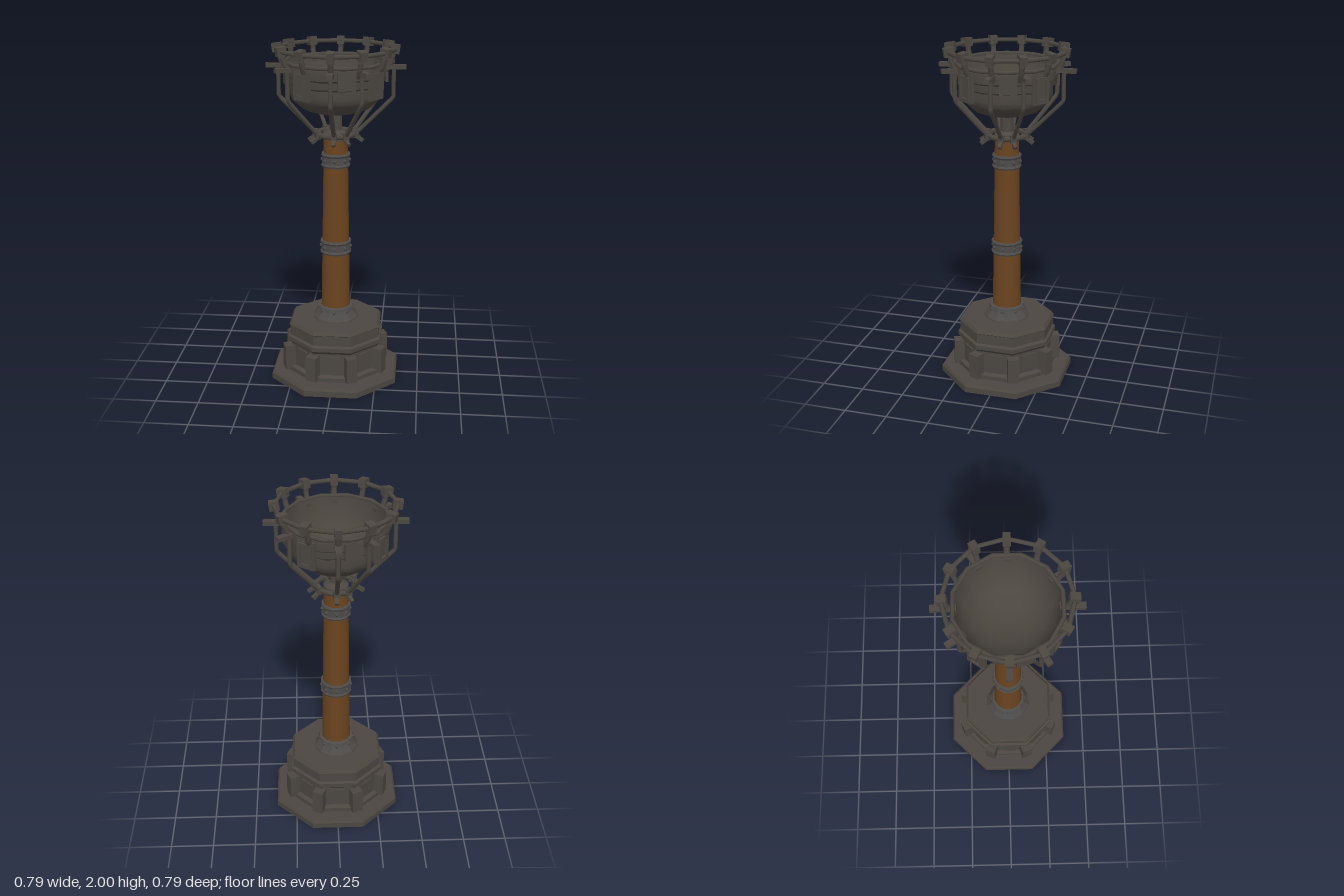
import * as THREE from 'three';
import { toCreasedNormals } from 'three/addons/utils/BufferGeometryUtils.js';

const mat = (name, color) => {
  const m = new THREE.MeshStandardMaterial({ color });
  m.name = name;
  return m;
};
const rad = THREE.MathUtils.degToRad;

export function createModel() {
  const model = new THREE.Group();
  model.name = 'brazier';
  const iron = mat('dark iron', 0x4b4640);
  const steel = mat('grey band', 0x4e4c4a);
  const wood = mat('brown wood', 0x6b4420);

  const add = (parent, name, geometry, material) => {
    const mesh = new THREE.Mesh(geometry, material);
    mesh.name = name;
    parent.add(mesh);
    return mesh;
  };
  // Turned part given by [apothem, y] pairs, with flat sides facing the axes
  const turned = (points, sides, crease = 0.4) => {
    const k = 1 / Math.cos(Math.PI / sides);
    const g = new THREE.LatheGeometry(points.map(([r, y]) => new THREE.Vector2(r * k, y)), sides);
    g.rotateY(Math.PI / sides);
    return toCreasedNormals(g, crease);
  };
  // Group facing outward along its own +z
  const spoke = (name, degrees) => {
    const g = new THREE.Group();
    g.name = name;
    g.rotation.y = rad(degrees);
    model.add(g);
    return g;
  };
  const box = (parent, name, w, h, d, y, z, material = iron, tilt = 0) => {
    const m = add(parent, name, new THREE.BoxGeometry(w, h, d), material);
    m.position.set(0, y, z);
    m.rotation.x = tilt;
    return m;
  };
  // Bent bar through [outward, y] points, made of straight runs
  const bar = (parent, name, points, r, sides = 6) => {
    const path = new THREE.CurvePath();
    const v = points.map(([z, y]) => new THREE.Vector3(0, y, z));
    for (let i = 1; i < v.length; i++) path.add(new THREE.LineCurve3(v[i - 1], v[i]));
    return add(parent, name, new THREE.TubeGeometry(path, 20, r, sides), iron);
  };
  // Polygonal hoop
  const hoop = (name, radius, tube, y, sides, material) => {
    const g = new THREE.TorusGeometry(radius, tube, 6, sides);
    g.rotateX(Math.PI / 2);
    return add(model, name, g.translate(0, y, 0), material);
  };
  const rivets = (r, y, count) => {
    for (let i = 0; i < count; i++) {
      const g = spoke('rivet', (i * 360) / count);
      add(g, 'rivetHead', new THREE.SphereGeometry(0.011, 6, 4), steel).position.set(0, y, r);
    }
  };

  // Octagonal pedestal
  add(model, 'footSlab', turned([[0, 0], [0.37, 0], [0.37, 0.035], [0.36, 0.05], [0, 0.05]], 8), iron);
  add(model, 'pedestal', turned([
    [0.28, 0.05], [0.28, 0.075], [0.255, 0.085], [0.255, 0.22], [0.275, 0.24], [0.275, 0.265],
    [0.262, 0.275], [0.262, 0.335], [0.268, 0.34], [0.255, 0.36], [0, 0.36]], 8), iron);
  for (let i = 0; i < 8; i++) {
    box(spoke('cornerPost', 22.5 + i * 45), 'post', 0.065, 0.15, 0.06, 0.135, 0.292);
    box(spoke('wallPanel', i * 45), 'panel', 0.09, 0.11, 0.012, 0.15, 0.257);
  }

  // Tapered shaft with riveted bands
  add(model, 'shaft', new THREE.CylinderGeometry(0.069, 0.086, 1.1, 16), wood).position.y = 0.93;
  add(model, 'footCollar', turned([
    [0.132, 0.355], [0.13, 0.37], [0.105, 0.41], [0.1, 0.435], [0.085, 0.44]], 12), steel);
  rivets(0.103, 0.415, 8);
  const band = (name, r, y) => {
    add(model, name, turned([
      [r - 0.02, y - 0.04], [r - 0.004, y - 0.04], [r, y - 0.03], [r - 0.006, y - 0.02],
      [r - 0.006, y + 0.02], [r, y + 0.03], [r - 0.004, y + 0.04], [r - 0.02, y + 0.04]], 12), steel);
    rivets(r - 0.004, y, 8);
  };
  band('middleBand', 0.09, 0.81);
  band('upperBand', 0.083, 1.335);

  // Neck and lower cage ring
  add(model, 'neck', turned([
    [0, 1.46], [0.07, 1.46], [0.07, 1.49], [0.035, 1.51], [0.035, 1.6], [0.06, 1.63]], 12), iron);
  hoop('cageRing', 0.108, 0.016, 1.488, 16, iron);

  // Hollow fire bowl
  add(model, 'bowl', turned([
    [0, 1.61], [0.12, 1.615], [0.18, 1.635], [0.225, 1.675], [0.24, 1.69], [0.25, 1.72],
    [0.25, 1.77], [0.262, 1.78], [0.265, 1.82], [0.28, 1.83], [0.285, 1.885], [0.28, 1.9],
    [0.27, 1.9], [0.26, 1.84], [0.235, 1.76], [0.18, 1.685], [0.1, 1.645], [0, 1.635]], 12, 0.6), iron);
  const rim = hoop('bowlRim', 0.288, 0.012, 1.9, 12, iron);
  rim.rotation.y = Math.PI / 12;

  // Cage struts with pegs at both ends
  for (let i = 0; i < 8; i++) {
    const straight = i % 2 === 0;
    const reach = straight ? 0.395 : 0.375;
    const z = straight ? 0.325 : 0.3;
    const g = spoke('cageStrut', Math.floor(i / 2) * 90 + (straight ? 0 : 33));
    bar(g, 'strut', [[0.095, 1.475], [0.135, 1.51], [z, 1.7], [z, 1.885]], 0.013);
    box(g, 'upperPeg', 0.034, 0.024, reach - 0.26, 1.872, (reach + 0.26) / 2);
    box(g, 'lowerPeg', 0.02, 0.02, 0.075, 1.468, 0.125, iron, 0.6);
    box(g, 'ringClamp', 0.034, 0.045, 0.03, 1.488, 0.117);
  }

  // Buckle plates hung on the bowl
  for (let i = 0; i < 4; i++) {
    const g = spoke('bucklePlate', -35 + i * 90);
    box(g, 'plate', 0.11, 0.16, 0.02, 1.795, 0.283);
    for (const y of [1.735, 1.855]) box(g, 'plateEdge', 0.09, 0.018, 0.018, y, 0.296);
    for (const x of [-0.036, 0.036]) box(g, 'plateSide', 0.018, 0.12, 0.018, 1.795, 0.296).position.x = x;
    // Broad strap beside each plate
    const s = spoke('strap', 17 + i * 90);
    box(s, 'strapPlate', 0.1, 0.1, 0.015, 1.83, 0.285);
  }

  // Crown hoop on twelve curved brackets
  hoop('crownHoop', 0.335, 0.013, 1.97, 12, iron);
  for (let i = 0; i < 12; i++) {
    const g = spoke('crownBracket', i * 30);
    box(g, 'clip', 0.042, 0.05, 0.055, 1.972, 0.33, iron, 0.15);
    bar(g, 'bracket', [[0.315, 1.975], [0.318, 1.93], [0.305, 1.89], [0.28, 1.85]], 0.016);
  }
  return model;
}
